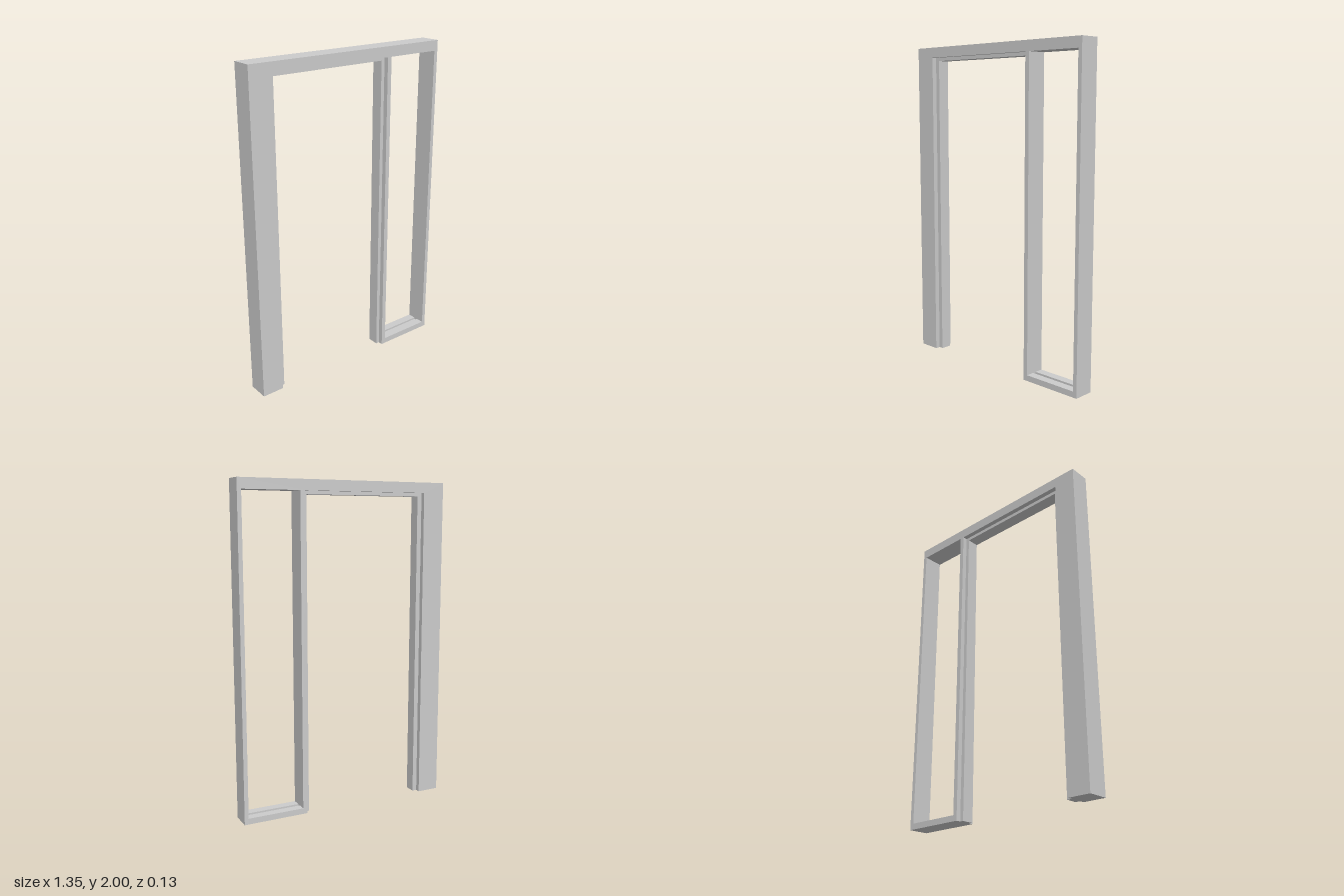
import * as THREE from 'three';

const DEPTH = 0.13; // full frame depth
const STOP = 0.07; // depth of the door stop

export function createModel() {
  const group = new THREE.Group();
  const mat = new THREE.MeshStandardMaterial({ color: 0xcccccc, flatShading: true });

  // Extrudes an outline lying in the front plane, centred on z = 0
  const slab = (name, shape, depth) => {
    const geo = new THREE.ExtrudeGeometry(shape, { depth, bevelEnabled: false });
    geo.translate(0, 0, -depth / 2);
    const mesh = new THREE.Mesh(geo, mat);
    mesh.name = name;
    group.add(mesh);
  };
  const outline = (pts) => new THREE.Shape(pts.map(([x, y]) => new THREE.Vector2(x, y)));

  // Wide jamb, header, mullion and narrow side post in one piece
  slab('doorFrame', outline([
    [-0.675, 0], [-0.536, 0], [-0.536, 1.937], [0.271, 1.937], [0.271, 0],
    [0.299, 0], [0.299, 1.937], [0.65, 1.937], [0.65, 0], [0.675, 0],
    [0.675, 2], [-0.675, 2],
  ]), DEPTH);

  // Stop running around the inside of the door opening
  slab('doorStop', outline([
    [-0.536, 0], [-0.507, 0], [-0.507, 1.916], [0.248, 1.916], [0.248, 0],
    [0.271, 0], [0.271, 1.937], [-0.536, 1.937],
  ]), STOP);

  // Side window sill, with a glazing groove along its top
  const h = 0.036, d = DEPTH / 2, g = 0.012;
  const sillGeo = new THREE.ExtrudeGeometry(outline([
    [-d, 0], [d, 0], [d, h], [g, h], [g, h - 0.012], [-g, h - 0.012], [-g, h], [-d, h],
  ]), { depth: 0.351, bevelEnabled: false });
  sillGeo.rotateY(Math.PI / 2);
  sillGeo.translate(0.299, 0, 0);
  const sill = new THREE.Mesh(sillGeo, mat);
  sill.name = 'windowSill';
  group.add(sill);

  return group;
}
